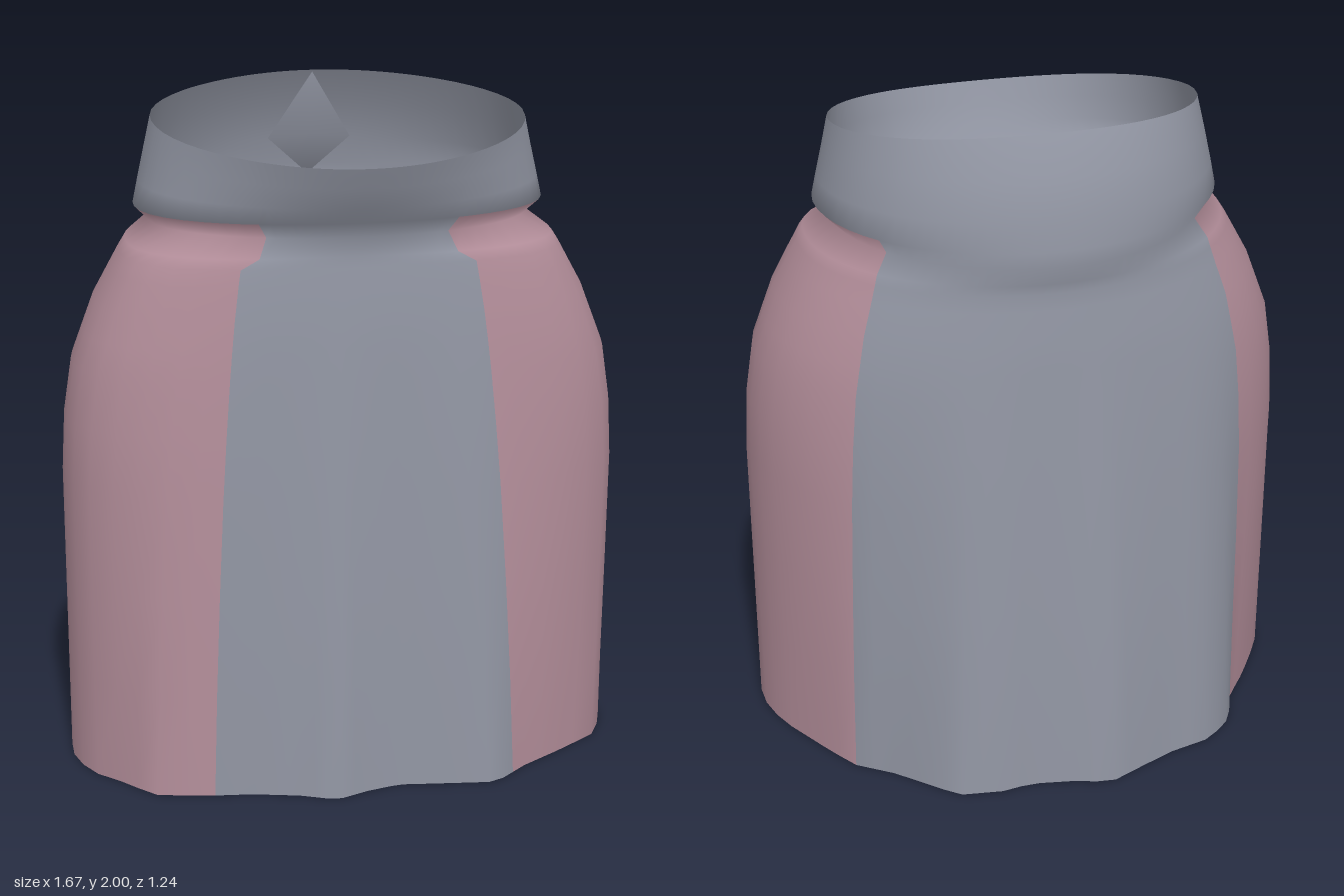
import * as THREE from 'three';

const CZ = 0.1; // z of the axis that all cross-sections are measured from
const RAD = Math.PI / 180;

// Wavy hem outline as x, z pairs
const HEM = [
  0, 0.585, 0.1, 0.56, 0.22, 0.575, 0.39, 0.595, 0.5, 0.5, 0.64, 0.41, 0.78, 0.31, 0.83, 0.18,
  0.83, 0.1, 0.8, -0.02, 0.69, -0.22, 0.63, -0.32, 0.52, -0.4, 0.36, -0.56, 0.22, -0.58,
  0.14, -0.565, 0, -0.59, -0.1, -0.625, -0.2, -0.58, -0.33, -0.525, -0.47, -0.49, -0.57, -0.4,
  -0.6, -0.3, -0.7, -0.17, -0.81, 0, -0.835, 0.08, -0.835, 0.2, -0.79, 0.31, -0.69, 0.41,
  -0.63, 0.495, -0.48, 0.53, -0.34, 0.545, -0.2, 0.58, -0.1, 0.625,
];

// Cross-sections: y, half width, front z, back z, front squareness, pink panel's front angle
const RINGS = [
  [0, 0.835, 0.6, -0.6, 2.5, 46],
  [0.3, 0.835, 0.575, -0.575, 2.6, 46],
  [0.6, 0.835, 0.548, -0.545, 2.7, 46],
  [0.9, 0.835, 0.52, -0.513, 2.8, 46],
  [1.08, 0.825, 0.503, -0.493, 2.8, 46],
  [1.24, 0.8, 0.487, -0.475, 2.8, 46],
  [1.33, 0.765, 0.478, -0.465, 2.8, 46],
  [1.42, 0.73, 0.468, -0.455, 2.8, 46],
  [1.51, 0.68, 0.455, -0.44, 2.9, 46],
  [1.56, 0.652, 0.448, -0.435, 2.9, 46],
  [1.59, 0.632, 0.443, -0.438, 2.8, 41],
  [1.645, 0.56, 0.442, -0.45, 2, 41],
  [1.69, 0.605, 0.465, -0.445, 2.2, 41],
  [1.76, 0.59, 0.497, -0.432, 2.1, 41],
  [1.85, 0.57, 0.525, -0.402, 2, 41],
  [1.94, 0.55, 0.55, -0.34, 2, 41],
];
const PANEL = [0, 9]; // first and last pink row below the waist
const PANEL_TOP = 11; // last pink row, under the waistband

const hemPolar = [];
for (let i = 0; i < HEM.length; i += 2) {
  const x = HEM[i], z = HEM[i + 1] - CZ;
  hemPolar.push([Math.atan2(x, z), Math.hypot(x, z)]);
}
hemPolar.sort((a, b) => a[0] - b[0]);

function hemRadius(t) {
  const n = hemPolar.length;
  for (let i = -1; i < n; i++) {
    const a = hemPolar[(i + n) % n], b = hemPolar[(i + 1) % n];
    const ta = i < 0 ? a[0] - 2 * Math.PI : a[0];
    const tb = i === n - 1 ? b[0] + 2 * Math.PI : b[0];
    if (t < ta || t > tb) continue;
    // straight edge between the two hem points
    const ax = a[1] * Math.sin(a[0]), az = a[1] * Math.cos(a[0]);
    const ex = b[1] * Math.sin(b[0]) - ax, ez = b[1] * Math.cos(b[0]) - az;
    return (ax * ez - az * ex) / (Math.sin(t) * ez - Math.cos(t) * ex);
  }
  return hemPolar[0][1];
}

function ovalRadius([, w, front, back, square], t) {
  const s = Math.abs(Math.sin(t)), c = Math.cos(t);
  const n = c > 0 ? square : 2;
  const d = c > 0 ? front - CZ : CZ - back;
  return Math.pow(Math.pow(s / w, n) + Math.pow(Math.abs(c) / d, n), -1 / n);
}

// Angles around the body; the pink panel always fills the same columns
const SEG = [10, 14, 12];
const HALF = SEG[0] + SEG[1] + SEG[2];
const COLS = HALF * 2;
function columnAngle(col, panelFront) {
  const k = Math.abs(col);
  const stops = [0, panelFront, 124, 180];
  let start = 0, i = 0;
  while (i < 2 && k > start + SEG[i]) start += SEG[i++];
  const a = stops[i] + (stops[i + 1] - stops[i]) * (k - start) / SEG[i];
  return Math.sign(col) * a * RAD;
}

function bodyGeometry() {
  const pos = [];
  RINGS.forEach((ring, i) => {
    const folds = Math.max(0, 1 - ring[0] / 1.4);
    for (let j = 0; j < COLS; j++) {
      const t = columnAngle(j - HALF, ring[5]);
      const wave = hemRadius(t) / ovalRadius(RINGS[0], t);
      const r = ovalRadius(ring, t) * (1 + folds * (wave - 1));
      // the waistband dips towards the front and rises at the back
      const rise = Math.max(0, (ring[0] - 1.69) / 0.25);
      const c = Math.cos(t);
      const y = ring[0] - rise * (c > 0 ? 0.08 : 0.06) * c;
      pos.push(r * Math.sin(t), y, CZ + r * c);
    }
  });
  const grey = [], pink = [];
  for (let i = 0; i < RINGS.length - 1; i++) {
    for (let j = 0; j < COLS; j++) {
      const k = Math.abs(j + 0.5 - HALF);
      const side = k > SEG[0] && k < SEG[0] + SEG[1];
      const inPanel = side && i >= PANEL[0] && i <= Math.max(PANEL[1], PANEL_TOP);
      const a = i * COLS + j, b = i * COLS + (j + 1) % COLS;
      (inPanel ? pink : grey).push(a, b, b + COLS, a, b + COLS, a + COLS);
    }
  }
  const geo = new THREE.BufferGeometry();
  geo.setAttribute('position', new THREE.Float32BufferAttribute(pos, 3));
  geo.setIndex([...grey, ...pink]);
  geo.addGroup(0, grey.length, 0);
  geo.addGroup(grey.length, pink.length, 1);
  geo.computeVertexNormals();
  return geo;
}

// Kite-shaped fold tucked inside the back of the waistband
function foldGeometry() {
  const geo = new THREE.BufferGeometry();
  geo.setAttribute('position', new THREE.Float32BufferAttribute([
    0, 1.995, -0.335, -0.13, 1.78, -0.4, 0, 1.66, -0.435, 0.13, 1.78, -0.4, 0, 1.8, -0.345,
  ], 3));
  geo.setIndex([0, 1, 4, 1, 2, 4, 2, 3, 4, 3, 0, 4]);
  geo.computeVertexNormals();
  return geo;
}

export function createModel() {
  const grey = new THREE.MeshStandardMaterial({ color: 0x9094a1, side: THREE.DoubleSide });
  grey.name = 'grey cloth';
  const pink = new THREE.MeshStandardMaterial({ color: 0xb28d99, side: THREE.DoubleSide });
  pink.name = 'pink cloth';

  const group = new THREE.Group();
  group.name = 'skirt';

  // Grey body and waistband with pink side panels
  const body = new THREE.Mesh(bodyGeometry(), [grey, pink]);
  body.name = 'skirtBody';
  group.add(body);

  const fold = new THREE.Mesh(foldGeometry(), grey);
  fold.name = 'backFold';
  group.add(fold);
  return group;
}
